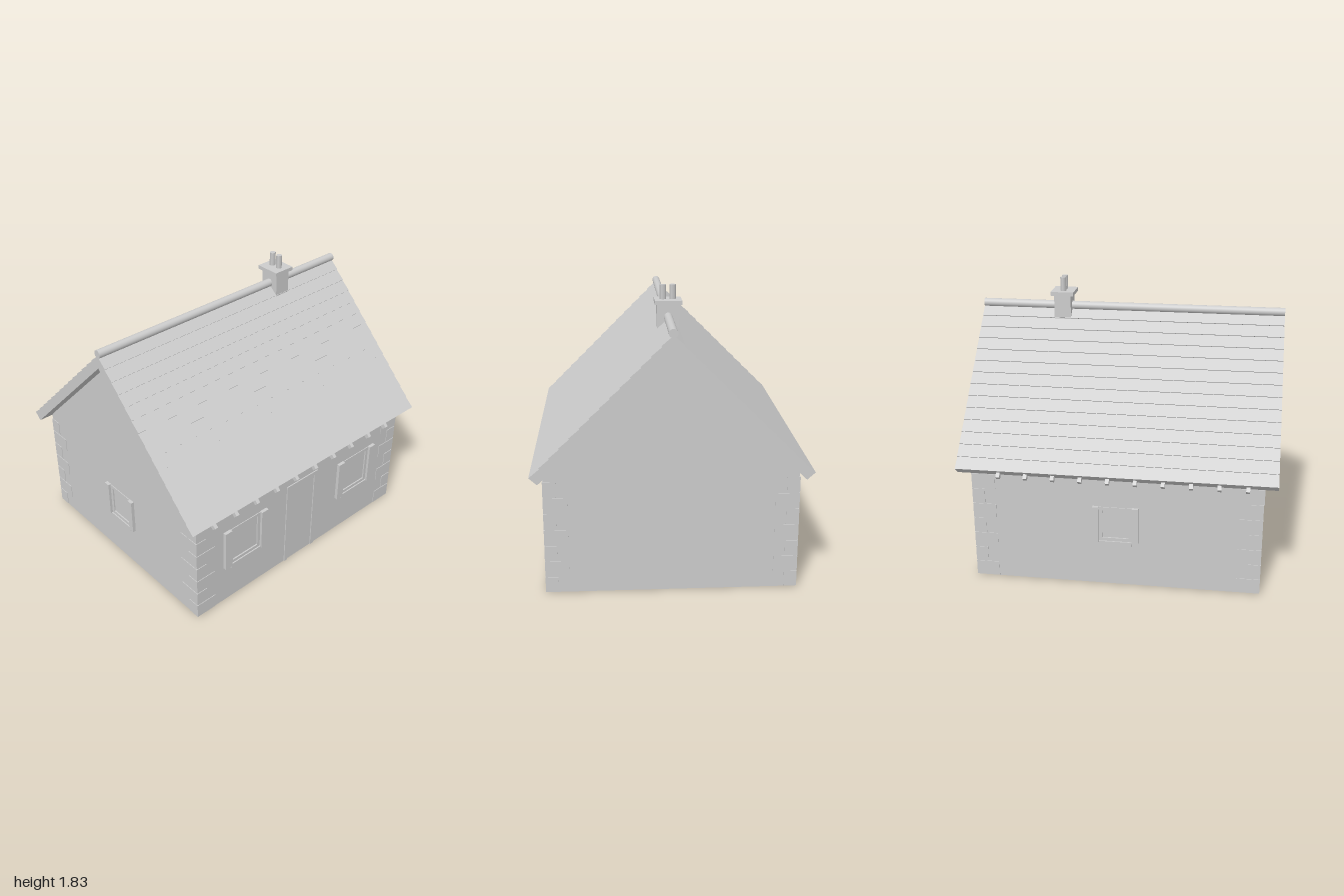
import * as THREE from 'three';

const W = 0.915, D = 0.775;          // half width and half depth of the walls
const EAVE = 0.765, APEX = 1.54;     // wall height at the eaves and at the gable tip

export function createModel() {
  const house = new THREE.Group();
  house.name = 'cottage';
  const grey = new THREE.MeshStandardMaterial({ color: 0xcccccc, side: THREE.DoubleSide });
  grey.name = 'light grey';

  const add = (parent, name, geo, x = 0, y = 0, z = 0) => {
    const m = new THREE.Mesh(geo, grey);
    m.name = name;
    m.position.set(x, y, z);
    parent.add(m);
    return m;
  };
  // box given by its limits
  const block = (parent, name, x0, x1, y0, y1, z0, z1) =>
    add(parent, name, new THREE.BoxGeometry(x1 - x0, y1 - y0, z1 - z0),
      (x0 + x1) / 2, (y0 + y1) / 2, (z0 + z1) / 2);

  const poly = pts => new THREE.Shape(pts.map(p => new THREE.Vector2(p[0], p[1])));
  const rect = (x0, x1, y0, y1) => [[x0, y0], [x1, y0], [x1, y1], [x0, y1]];

  // a thin wall standing in its own group, facing the group's +z
  const wall = (name, outline, holes, angle, x, z) => {
    const g = new THREE.Group();
    g.name = name;
    const shape = poly(outline);
    holes.forEach(h => shape.holes.push(poly(rect(...h))));
    add(g, name + 'Sheet', new THREE.ShapeGeometry(shape));
    g.position.set(x, 0, z);
    g.rotation.y = angle;
    house.add(g);
    return g;
  };

  // frame around an opening, with a panel set back in it
  const framed = (g, name, x0, x1, y0, y1, t, out, isDoor) => {
    const back = -0.03;
    block(g, name + 'FrameSide', x0, x0 + t, y0, y1, back, out);
    block(g, name + 'FrameSide', x1 - t, x1, y0, y1, back, out);
    block(g, name + 'FrameTop', x0 + t, x1 - t, y1 - t, y1, back, out);
    if (!isDoor) block(g, name + 'FrameBottom', x0 + t, x1 - t, y0, y0 + t, back, out);
    block(g, name + 'Panel', x0 + t, x1 - t, isDoor ? y0 : y0 + t, y1 - t, -0.016, -0.004);
  };

  // window with raised side boards and a sill between them
  const windowUnit = (g, cx, half, y0, y1, board) => {
    const inner = half - board;
    for (const s of [-1, 1]) {
      const c = cx + s * (half - board / 2);
      block(g, 'windowSideBoard', c - board / 2, c + board / 2, y0 + 0.025, y1, -0.004, 0.022);
    }
    block(g, 'windowSill', cx - inner, cx + inner, y0, y0 + 0.03, -0.004, 0.013);
    framed(g, 'window', cx - inner, cx + inner, y0 + 0.03, y1 - 0.004, 0.022, 0.005, false);
  };
  const windowHole = (cx, half, y0, y1, board) =>
    [cx - half + board, cx + half - board, y0 + 0.03, y1 - 0.004];

  // walls, windows and door
  const longWall = rect(-W, W, 0, EAVE);
  const gable = [[-D, 0], [D, 0], [D, EAVE], [0, APEX], [-D, EAVE]];
  const frontWindows = [-0.515, 0.515].map(cx => [cx, 0.182, 0.26, 0.58, 0.055]);
  const smallWindow = [0, 0.145, 0.28, 0.55, 0.04];

  const front = wall('frontWall', longWall, frontWindows.map(w => windowHole(...w)), 0, 0, D);
  frontWindows.forEach(w => windowUnit(front, ...w));
  framed(front, 'door', -0.15, 0.13, 0, 0.645, 0.028, 0.007, true);
  const backWall = wall('backWall', longWall, [windowHole(...smallWindow)], Math.PI, 0, -D);
  windowUnit(backWall, ...smallWindow);
  wall('leftGable', gable, [], Math.PI / 2, W, 0);
  const right = wall('rightGable', gable, [windowHole(...smallWindow)], -Math.PI / 2, -W, 0);
  windowUnit(right, ...smallWindow);

  // corner stones, alternately long along x and along z
  const rows = 7, rowHeight = 0.73 / rows;
  for (const sx of [-1, 1]) for (const sz of [-1, 1]) for (let i = 0; i < rows; i++) {
    const lx = i % 2 ? 0.08 : 0.15, lz = i % 2 ? 0.15 : 0.08, out = 0.004;
    add(house, 'cornerStone', new THREE.BoxGeometry(lx, rowHeight - 0.006, lz),
      sx * (W + out - lx / 2), (i + 0.5) * rowHeight, sz * (D + out - lz / 2));
  }

  // roof: stepped tile rows on both slopes, one extruded cross-section
  const half = [[0, 1.625]];
  for (let i = 0; i < 14; i++) {
    const z = 0.065 + 0.06 * i, y = 1.625 - z;
    half.push([z + 0.005, y + 0.005]);
    if (i < 13) half.push([z, y]);
  }
  half.push([0.8, 0.74], [0, APEX]);
  const mirrored = half.slice(1, -1).reverse().map(([z, y]) => [-z, y]);
  const roofGeo = new THREE.ExtrudeGeometry(poly([...half, ...mirrored]), { depth: 2, bevelEnabled: false });
  roofGeo.rotateY(Math.PI / 2);
  add(house, 'roof', roofGeo, -1, 0, 0);

  // ridge roll
  const ridge = new THREE.CylinderGeometry(0.027, 0.027, 2, 24);
  ridge.rotateZ(Math.PI / 2);
  add(house, 'ridge', ridge, 0, 1.637, 0);

  // rafter ends under the eaves
  for (const s of [-1, 1]) for (let i = 0; i < 10; i++) {
    const r = add(house, 'rafterEnd', new THREE.BoxGeometry(0.024, 0.03, 0.11),
      -0.818 + i * 0.172, 0.772, s * 0.801);
    r.rotation.x = s * Math.PI / 4;
  }

  // chimney with cap and two six-sided pots
  block(house, 'chimneyStack', 0.4, 0.51, 1.555, 1.72, -0.068, 0.068);
  block(house, 'chimneyCap', 0.378, 0.53, 1.715, 1.74, -0.085, 0.083);
  for (const z of [-0.03, 0.03])
    add(house, 'chimneyPot', new THREE.CylinderGeometry(0.02, 0.02, 0.1, 6), 0.454, 1.78, z);

  return house;
}
